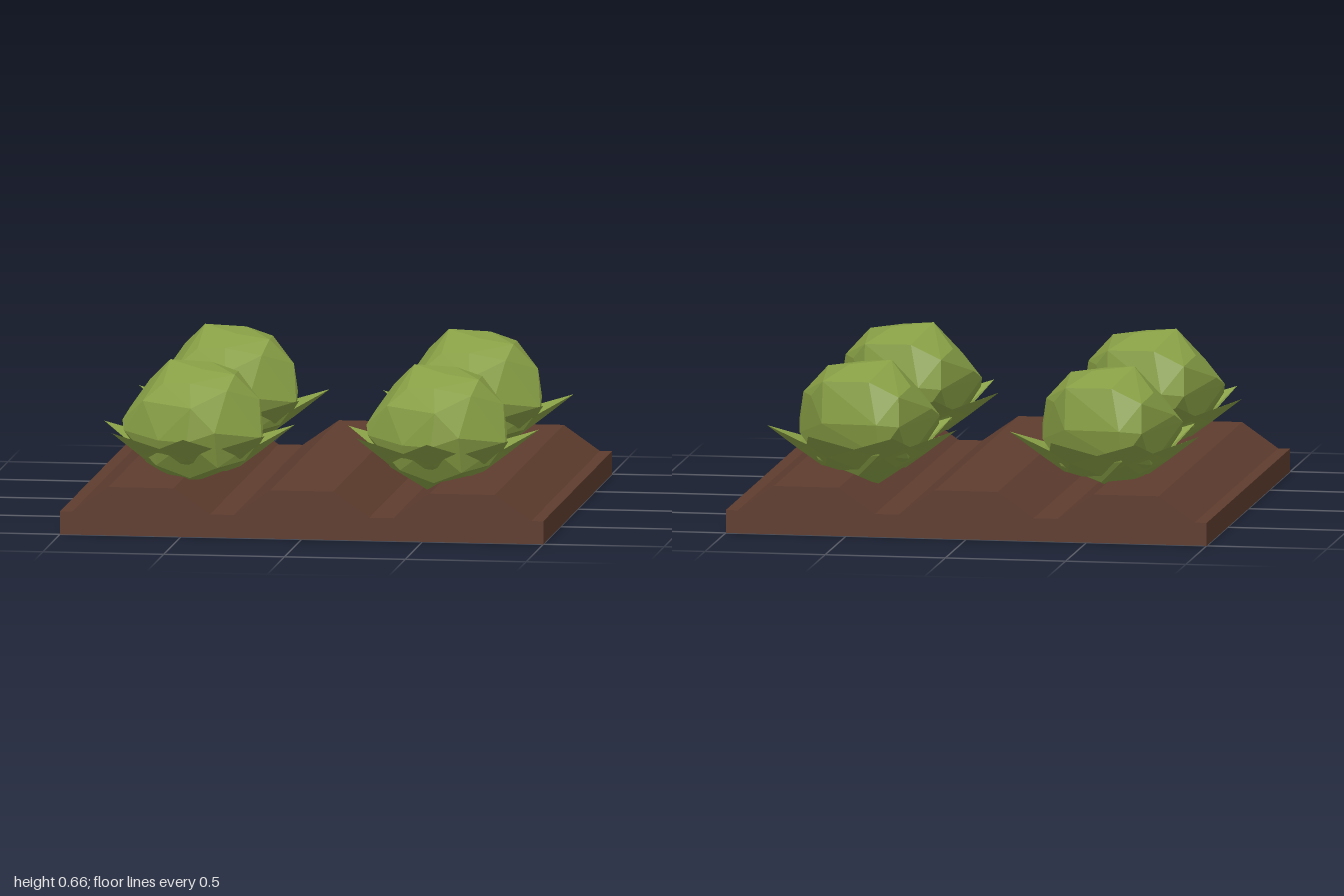
import * as THREE from 'three';
import { ConvexGeometry } from 'three/addons/geometries/ConvexGeometry.js';

const soil = new THREE.MeshStandardMaterial({ color: 0x5e3c2e });
soil.name = 'soil brown';
const green = new THREE.MeshStandardMaterial({ color: 0x889f45, side: THREE.DoubleSide });
green.name = 'cabbage green';

// Ploughed soil slab: ridged profile extruded front to back
function makeSoil() {
  const half = [[0, 0.2], [0.13, 0.2], [0.28, 0.095], [0.38, 0.095], [0.53, 0.2], [0.8, 0.2], [0.95, 0.095], [1, 0.095], [1, 0]];
  const left = half.slice(1).map(([x, y]) => [-x, y]).reverse();
  const shape = new THREE.Shape([...left, ...half].map(([x, y]) => new THREE.Vector2(x, y)));
  const geo = new THREE.ExtrudeGeometry(shape, { depth: 2, bevelEnabled: false });
  geo.translate(0, 0, -1);
  const mesh = new THREE.Mesh(geo, soil);
  mesh.name = 'ploughedSoil';
  return mesh;
}

// Faceted, slightly lopsided head
function makeHeadGeometry() {
  const points = [
    // crown
    [-0.11, 0.66, -0.01], [0.055, 0.645, -0.06], [0.035, 0.635, 0.085], [0.17, 0.615, 0.085],
    [-0.055, 0.6, -0.24], [0.145, 0.59, -0.19], [-0.205, 0.565, -0.095], [-0.18, 0.54, -0.24],
    // shoulders
    [0, 0.59, 0.19], [-0.12, 0.58, 0.14], [0.15, 0.56, 0.17], [-0.2, 0.51, 0.16],
    [0.265, 0.51, 0.04], [0.205, 0.52, -0.125], [0.015, 0.5, 0.285], [-0.275, 0.46, 0],
    // waist
    [-0.185, 0.42, -0.265], [-0.095, 0.43, -0.295], [0.145, 0.42, -0.215], [0.285, 0.4, 0.065],
    [0.285, 0.36, 0.115], [0.115, 0.4, 0.29], [0, 0.36, 0.295], [-0.125, 0.36, 0.245],
    [-0.285, 0.38, 0.115], [-0.295, 0.42, 0.085], [0.27, 0.35, -0.02],
    // underside
    [-0.05, 0.14, 0], [0.155, 0.22, 0], [0, 0.2, 0.2], [-0.2, 0.24, 0.05], [0, 0.2, -0.17],
    [0.22, 0.27, 0.14], [-0.14, 0.25, 0.2], [0.12, 0.25, 0.24], [-0.2, 0.27, -0.13],
    [0.17, 0.26, -0.15], [-0.1, 0.3, -0.265],
  ];
  return new ConvexGeometry(points.map((p) => new THREE.Vector3(...p)));
}

// Star of seven pointed leaves, each creased along its middle
function makeLeafGeometry(count = 7) {
  const positions = [];
  const at = (r, y, turn) => {
    const a = (turn / count) * Math.PI * 2;
    return [Math.sin(a) * r, y, Math.cos(a) * r];
  };
  for (let i = 0; i < count; i++) {
    const tip = at(0.405, 0.388, i);
    const keel = at(0.27, 0.285, i);
    const base = at(0.18, 0.22, i);
    for (const side of [-0.5, 0.5]) {
      const valley = at(0.275, 0.325, i + side);
      const inner = at(0.19, 0.23, i + side);
      const faces = [[tip, valley, keel], [keel, valley, inner], [keel, inner, base]];
      for (const [a, b, c] of faces) positions.push(...a, ...(side > 0 ? c : b), ...(side > 0 ? b : c));
    }
  }
  const geo = new THREE.BufferGeometry();
  geo.setAttribute('position', new THREE.Float32BufferAttribute(positions, 3));
  geo.computeVertexNormals();
  return geo;
}

export function createModel() {
  const model = new THREE.Group();
  model.name = 'cabbagePatch';
  model.add(makeSoil());

  // Two by two planting
  const headGeo = makeHeadGeometry();
  const leafGeo = makeLeafGeometry();
  for (const x of [-0.505, 0.505]) {
    for (const z of [-0.505, 0.505]) {
      const cabbage = new THREE.Group();
      cabbage.name = 'cabbage';
      const head = new THREE.Mesh(headGeo, green);
      head.name = 'cabbageHead';
      const leaves = new THREE.Mesh(leafGeo, green);
      leaves.name = 'outerLeaves';
      cabbage.add(head, leaves);
      cabbage.position.set(x, 0, z);
      model.add(cabbage);
    }
  }
  return model;
}
